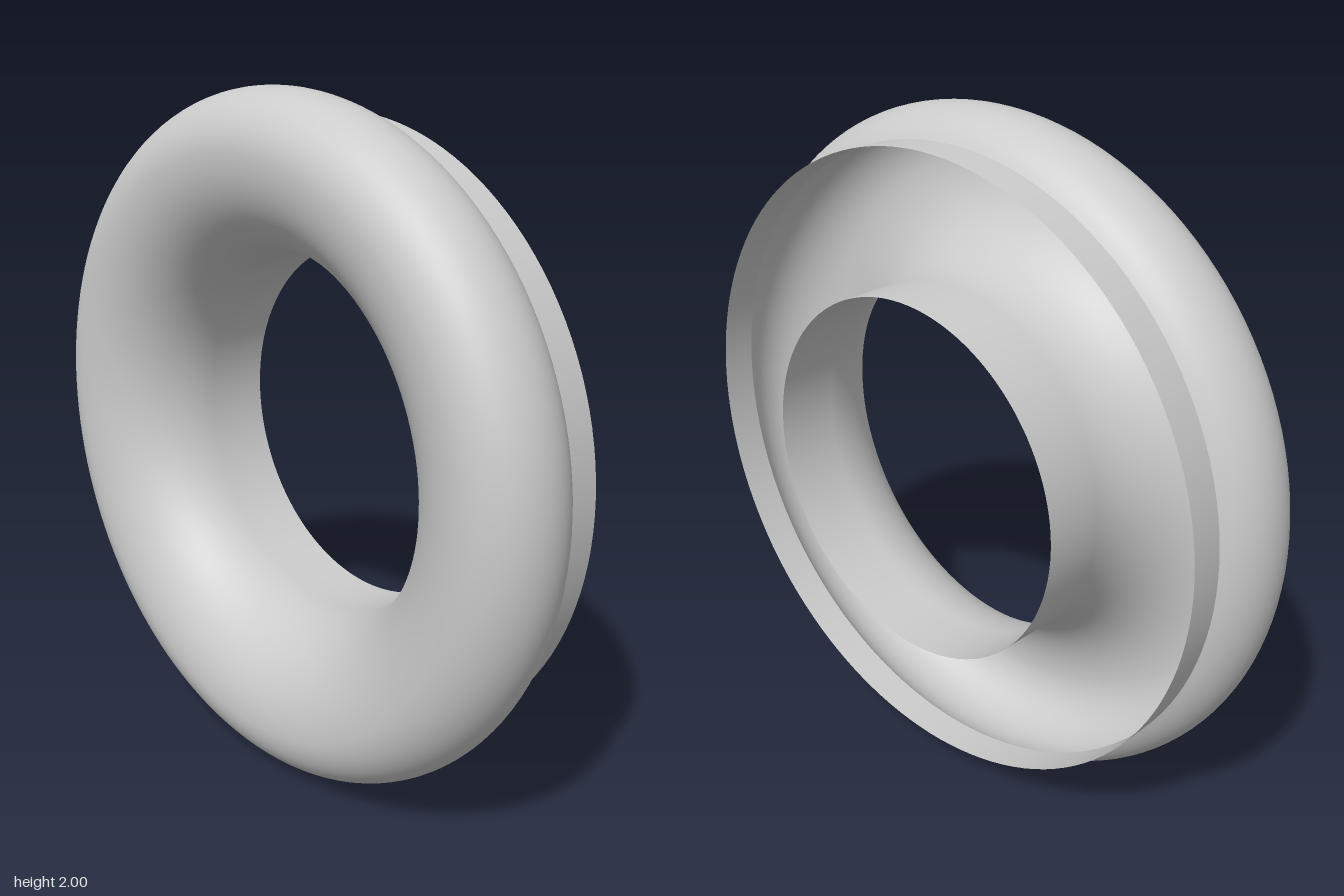
import * as THREE from 'three';

const SEGMENTS = 128;
const THROAT_R = 0.535, FLANGE_R = 0.92, CREST_R = 0.835;
const ROLL = 0.165;               // radius of the outer rolled edge
const FLARE = CREST_R - THROAT_R; // radius of the inner flare
const FRONT_Z = 0.245, FLANGE_Z = -0.165, BACK_Z = -0.245;

// Points [radius, z] along a circular arc, angles in radians
function arc(r, z, radius, from, to, steps) {
  return Array.from({ length: steps + 1 }, (_, i) => {
    const a = from + (to - from) * i / steps;
    return new THREE.Vector2(r + radius * Math.cos(a), z + radius * Math.sin(a));
  });
}

export function createModel() {
  const group = new THREE.Group();
  group.name = 'flaredRing';
  const material = new THREE.MeshStandardMaterial({ color: 0xcccccc, side: THREE.DoubleSide });

  // Thin shell turned around the z axis
  function addShell(name, profile) {
    const geometry = new THREE.LatheGeometry(profile, SEGMENTS).rotateX(Math.PI / 2);
    const mesh = new THREE.Mesh(geometry, material);
    mesh.name = name;
    mesh.position.y = 1;
    group.add(mesh);
  }

  // Rounded front: outer roll, over the crest, down the flare into the throat tube
  const rollEnd = -Math.acos((FLANGE_R - CREST_R) / ROLL);
  const roll = arc(CREST_R, FRONT_Z - ROLL, ROLL, rollEnd, Math.PI / 2, 24);
  const flare = arc(CREST_R, FRONT_Z - FLARE, FLARE, Math.PI / 2, Math.PI, 20).slice(1);
  addShell('roundedFrontAndThroat', [...roll, ...flare, new THREE.Vector2(THROAT_R, BACK_Z)]);

  // Straight flange behind the outer roll
  addShell('rearFlange', [new THREE.Vector2(FLANGE_R, FLANGE_Z), roll[0].clone()]);

  return group;
}
